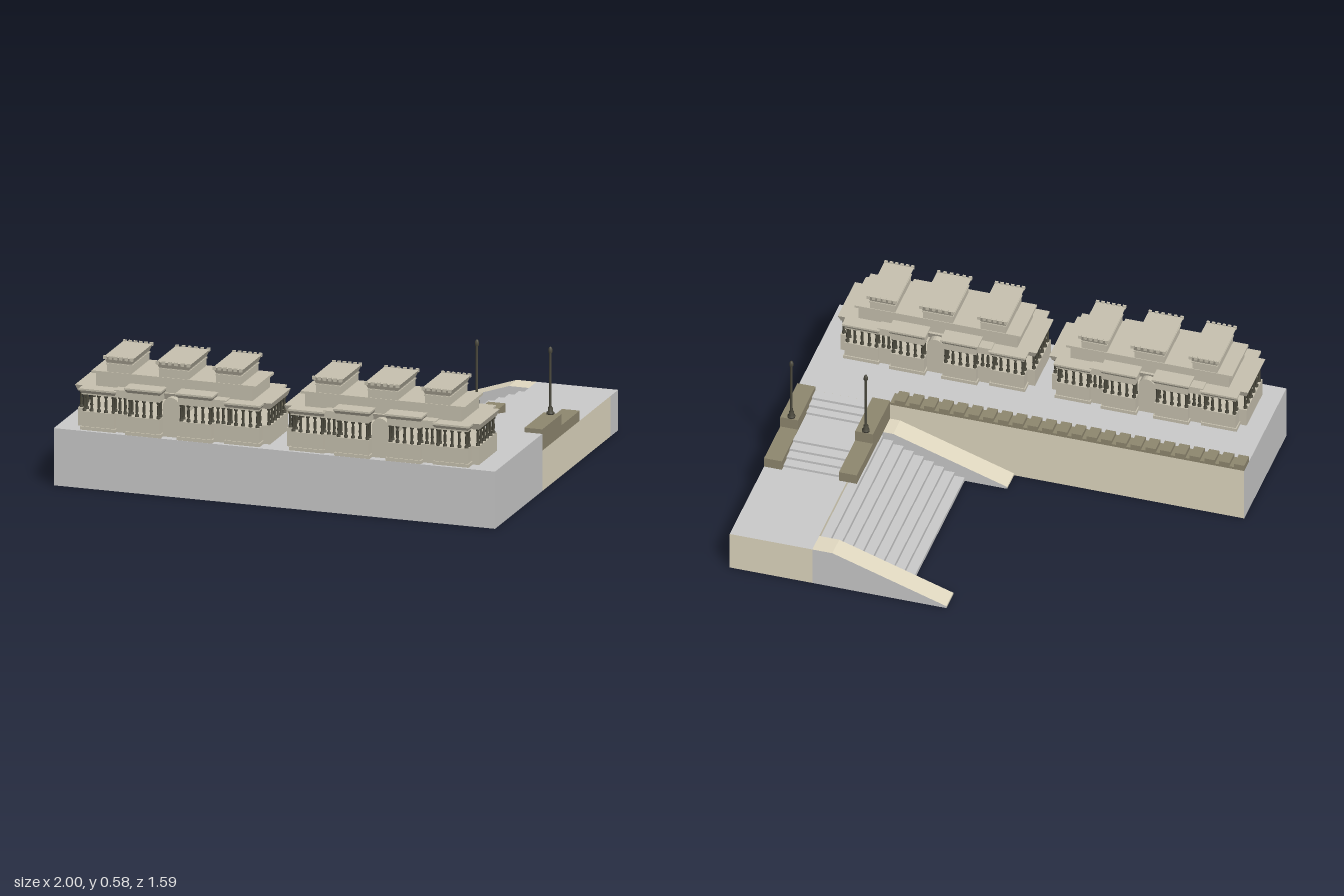
import * as THREE from 'three';

const mat = (color) => new THREE.MeshStandardMaterial({ color, side: THREE.DoubleSide });
const grey = mat(0xcccccc), stone = mat(0xc8c2b0), tan = mat(0xe2dac2),
  olive = mat(0x8f8870), dark = mat(0x4c4a3e);
const G = 0.255; // upper ground level
const L = 0.18;  // landing level

function add(parent, name, geometry, material, x = 0, y = 0, z = 0) {
  const m = new THREE.Mesh(geometry, material);
  m.name = name;
  m.position.set(x, y, z);
  parent.add(m);
  return m;
}

// box given by its limits
function box(parent, name, material, x0, x1, y0, y1, z0, z1) {
  return add(parent, name, new THREE.BoxGeometry(x1 - x0, y1 - y0, z1 - z0), material,
    (x0 + x1) / 2, (y0 + y1) / 2, (z0 + z1) / 2);
}

// box centred on x, z = 0 whose top is wider than its bottom by "flare" on each side
function flared(parent, name, x, halfW, halfD, y0, y1, flare) {
  const g = new THREE.BoxGeometry(halfW * 2, y1 - y0, halfD * 2).toNonIndexed();
  const p = g.attributes.position;
  for (let i = 0; i < p.count; i++) {
    if (p.getY(i) > 0) {
      p.setX(i, p.getX(i) + Math.sign(p.getX(i)) * flare);
      p.setZ(i, p.getZ(i) + Math.sign(p.getZ(i)) * flare);
    }
  }
  g.computeVertexNormals();
  return add(parent, name, g, stone, x, (y0 + y1) / 2, 0);
}

// outline in x, y pushed along z
function extrude(parent, name, pts, z0, z1, material) {
  const shape = new THREE.Shape(pts.map(([x, y]) => new THREE.Vector2(x, y)));
  const g = new THREE.ExtrudeGeometry(shape, { depth: z1 - z0, bevelEnabled: false });
  return add(parent, name, g, material, 0, 0, z0);
}

const columnGeometry = new THREE.LatheGeometry([
  [0.009, 0], [0.009, 0.008], [0.005, 0.012], [0.007, 0.03], [0.005, 0.062],
  [0.009, 0.068], [0.009, 0.078],
].map(([r, y]) => new THREE.Vector2(r, y)), 8);

// row of columns, both ends included
function columnRow(parent, x0, z0, x1, z1, n) {
  for (let i = 0; i < n; i++) {
    const t = n > 1 ? i / (n - 1) : 0;
    add(parent, 'column', columnGeometry, dark, x0 + (x1 - x0) * t, 0.337, z0 + (z1 - z0) * t);
  }
}

function createPavilion() {
  const g = new THREE.Group();
  g.name = 'pavilion';

  // long body: parapet wall, end columns and roof slab
  box(g, 'bodyWall', stone, -0.435, 0.435, G, 0.337, -0.115, 0.115);
  flared(g, 'bodyCornice', 0, 0.435, 0.115, 0.412, 0.44, 0.01);
  for (const s of [-1, 1]) columnRow(g, s * 0.425, -0.1, s * 0.425, 0.1, 6);

  // bays crossing the body
  for (const s of [-1, 1]) {
    for (const [x, halfD, top] of [[0.327, 0.165, 0.44], [0.117, 0.18, 0.465]]) {
      const hw = 0.075;
      box(g, 'bayWall', stone, s * x - hw, s * x + hw, G, 0.337, -halfD, halfD);
      box(g, 'bayBase', stone, s * x - hw - 0.005, s * x + hw + 0.005, G, G + 0.015, -halfD - 0.005, halfD + 0.005);
      box(g, 'bayLintel', stone, s * x - hw, s * x + hw, 0.412, top - 0.022, -halfD, halfD);
      flared(g, 'bayCornice', s * x, hw, halfD, top - 0.022, top - 0.008, 0.008);
      box(g, 'bayRoof', stone, s * x - hw - 0.009, s * x + hw + 0.009, top - 0.008, top, -halfD - 0.01, halfD + 0.01);
      for (const f of [-1, 1]) {
        const z = f * (halfD - 0.012);
        columnRow(g, s * x - 0.065, z, s * x + 0.065, z, 5);
        for (const e of [-1, 1]) columnRow(g, s * x + e * 0.065, z - f * 0.03, s * x + e * 0.065, z - f * 0.03, 1);
      }
    }
    // links between the bays
    box(g, 'linkWall', stone, s * 0.222 - 0.032, s * 0.222 + 0.032, G, 0.337, -0.155, 0.155);
    box(g, 'linkRoof', stone, s * 0.222 - 0.032, s * 0.222 + 0.032, 0.412, 0.445, -0.163, 0.163);
    for (const f of [-1, 1]) columnRow(g, s * 0.222 - 0.012, f * 0.145, s * 0.222 + 0.012, f * 0.145, 2);
  }

  // arched passage block in the middle
  const arch = [[-0.038, G], [0.038, G]];
  for (let i = 0; i <= 10; i++) {
    const a = Math.PI * i / 10;
    arch.push([0.038 * Math.cos(a), 0.39 + 0.04 * Math.sin(a)]);
  }
  extrude(g, 'archPortal', arch, -0.15, 0.15, stone);

  // upper storey
  box(g, 'upperStorey', stone, -0.355, 0.355, 0.44, 0.5, -0.112, 0.112);
  box(g, 'upperRoof', stone, -0.372, 0.372, 0.497, 0.508, -0.118, 0.118);

  // three towers with flared, notched tops
  for (const [x, hw] of [[-0.248, 0.056], [0, 0.067], [0.247, 0.056]]) {
    box(g, 'towerBody', stone, x - hw, x + hw, 0.5, 0.55, -0.115, 0.115);
    box(g, 'towerBand', stone, x - hw - 0.003, x + hw + 0.003, 0.54, 0.546, -0.118, 0.118);
    flared(g, 'towerCornice', x, hw, 0.117, 0.55, 0.577, 0.011);
    for (let i = 0; i < 6; i++) {
      for (const f of [-1, 1]) {
        const c = x + (i - 2.5) / 2.5 * (hw + 0.004);
        box(g, 'towerMerlon', stone, c - 0.007, c + 0.007, 0.568, 0.583, f * 0.128 - 0.005, f * 0.128 + 0.005);
      }
    }
  }
  return g;
}

function createLamp(x) {
  const g = new THREE.Group();
  g.name = 'lamp';
  const profile = [[0, 0], [0.017, 0], [0.017, 0.008], [0.011, 0.012], [0.011, 0.028], [0.006, 0.034],
    [0.005, 0.27], [0.009, 0.275], [0.009, 0.288], [0.005, 0.298], [0, 0.3]];
  add(g, 'lampPost', new THREE.LatheGeometry(profile.map(([r, y]) => new THREE.Vector2(r, y)), 12), dark);
  g.position.set(x, 0.275, -0.052);
  return g;
}

export function createModel() {
  const model = new THREE.Group();
  model.name = 'terrace';

  // ground blocks; material order is +x, -x, +y, -y, +z, -z
  box(model, 'terraceBlock', [grey, grey, grey, grey, grey, tan], -1, 1, 0, G, 0.18, 0.79);
  box(model, 'landing', [tan, tan, grey, grey, grey, grey], 0.63, 1, 0, L, -0.7, 0.18);
  box(model, 'landingEnd', [grey, grey, grey, grey, grey, tan], 0.63, 1, 0, L, -0.8, -0.7);

  // sloping side walls of the wide stair
  for (const z of [-0.8, 0.08]) {
    extrude(model, 'stairSideWall', [[0.03, 0], [0.63, 0], [0.63, L], [0.54, L], [0.03, 0.01]],
      z, z + 0.1, [grey, tan]);
  }

  // wide stair, open below
  const n = 9, run = 0.41 / n, rise = L / (n + 1);
  const upper = [], lower = [];
  for (let i = 0; i < n; i++) {
    const x = 0.22 + i * run, y = i * rise;
    upper.push([x, y], [x, y + rise]);
    lower.push([x + 0.005, y], [x + 0.005, y + rise - 0.005]);
  }
  upper.push([0.63, n * rise]);
  lower.push([0.63, n * rise - 0.005]);
  extrude(model, 'wideStair', [...upper, ...lower.reverse()], -0.7, 0.08, grey);

  // short flights up to the terrace
  [-0.28, -0.235, -0.19, -0.14, 0.05, 0.09, 0.13].forEach((z, i) => {
    box(model, 'upperStep', grey, 0.66, 0.925, L - 0.01, L + (i + 1) * 0.0107, z, 0.18);
  });
  for (const x of [0.585, 0.92]) {
    box(model, 'stairWallLow', olive, x, x + 0.08, L, 0.225, -0.302, -0.068);
    box(model, 'stairWallHigh', olive, x, x + 0.08, L, 0.275, -0.068, 0.182);
  }
  model.add(createLamp(0.622), createLamp(0.955));

  // notched parapet along the back edge
  box(model, 'parapetBase', olive, -1, 0.585, G, 0.266, 0.18, 0.25);
  const blocks = 24, pitch = 1.585 / blocks;
  for (let i = 0; i < blocks; i++) {
    const x = -1 + i * pitch;
    box(model, 'parapetBlock', olive, x, x + pitch * 0.7, 0.266, 0.283, 0.18, 0.25);
  }

  // two matching pavilions
  for (const x of [-0.48, 0.467]) {
    const p = createPavilion();
    p.position.set(x, 0, 0.604);
    model.add(p);
  }
  return model;
}
